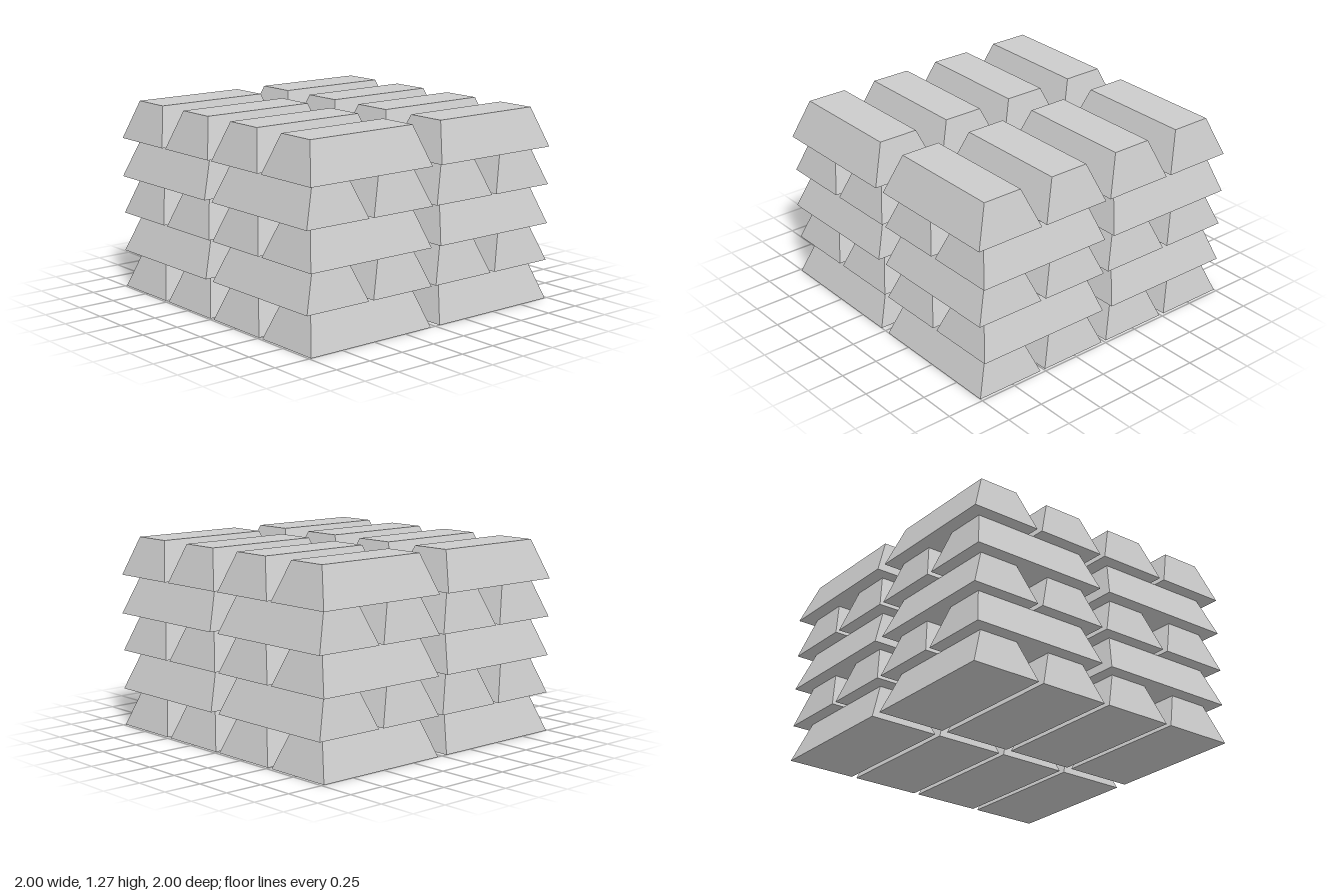
import * as THREE from 'three';

const WIDTH = 0.473, LENGTH = 0.945, HEIGHT = 0.254;
const TOP_WIDTH = 0.27, TOP_LENGTH = 0.79;
const PITCH = 0.509; // spacing of bars side by side

// Tapered ingot lying along z, standing on y = 0
function ingotGeometry() {
  const geo = new THREE.BoxGeometry(WIDTH, HEIGHT, LENGTH);
  geo.translate(0, HEIGHT / 2, 0);
  const p = geo.attributes.position;
  for (let i = 0; i < p.count; i++) {
    if (p.getY(i) > HEIGHT / 2) {
      p.setX(i, Math.sign(p.getX(i)) * TOP_WIDTH / 2);
      p.setZ(i, Math.sign(p.getZ(i)) * TOP_LENGTH / 2);
    }
  }
  geo.computeVertexNormals();
  return geo;
}

export function createModel() {
  const stack = new THREE.Group();
  stack.name = 'ingotStack';
  const geo = ingotGeometry();
  const mat = new THREE.MeshStandardMaterial({ color: 0xcccccc, flatShading: true });

  // Five layers of eight bars, each layer turned a quarter against the one below
  for (let level = 0; level < 5; level++) {
    const layer = new THREE.Group();
    layer.name = `layer${level + 1}`;
    layer.position.y = level * HEIGHT;
    if (level % 2) layer.rotation.y = -Math.PI / 2;
    for (let col = 0; col < 4; col++) {
      for (const z of [-0.508, 0.513]) {
        const bar = new THREE.Mesh(geo, mat);
        bar.name = 'ingot';
        bar.position.set((col - 1.5) * PITCH, 0, z);
        layer.add(bar);
      }
    }
    stack.add(layer);
  }
  return stack;
}
